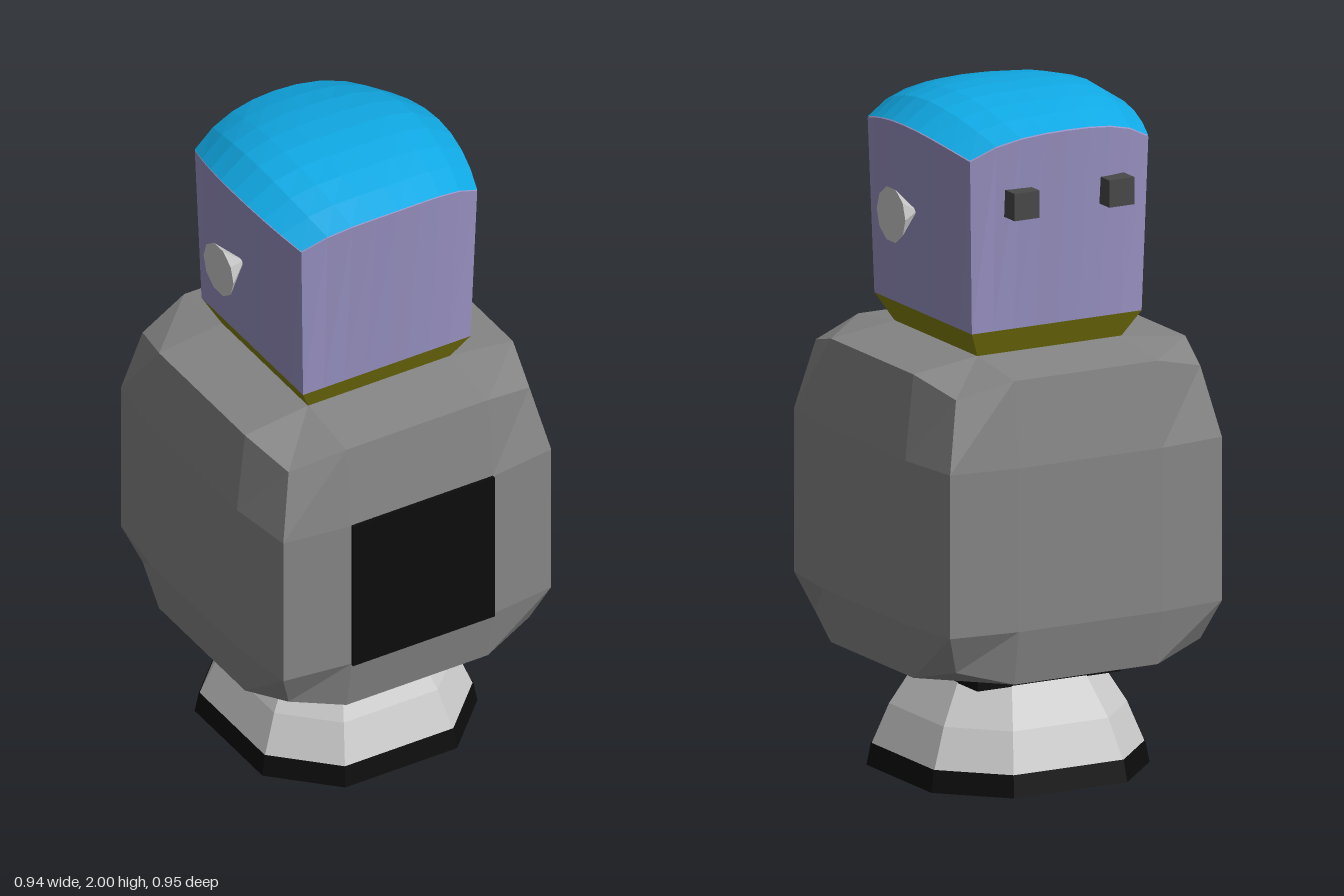
import * as THREE from 'three';

const mat = (color, side = THREE.FrontSide) =>
  new THREE.MeshStandardMaterial({ color, flatShading: true, side });

const GREY = 0xcccccc, BLACK = 0x0c0c0c;
const CZ = -0.007; // body and head sit slightly behind the origin

// Apply a rule to every vertex of a geometry
function reshape(geo, rule) {
  const p = geo.attributes.position;
  for (let i = 0; i < p.count; i++) p.setXYZ(i, ...rule(p.getX(i), p.getY(i), p.getZ(i)));
  geo.computeVertexNormals();
  return geo;
}

// Loft through chamfered-square rings given as [halfWidth, y]
function chamferedLoft(rings, flat = 0.52) {
  const corners = [[-flat, 1], [flat, 1], [1, flat], [1, -flat], [flat, -1], [-flat, -1], [-1, -flat], [-1, flat]];
  const pos = [], index = [];
  for (const [r, y] of rings) for (const [x, z] of corners) pos.push(x * r, y, z * r + CZ);
  for (let k = 0; k < rings.length - 1; k++) {
    for (let i = 0; i < 8; i++) {
      const a = k * 8 + i, b = k * 8 + (i + 1) % 8;
      index.push(a, b, b + 8, a, b + 8, a + 8);
    }
  }
  const geo = new THREE.BufferGeometry();
  geo.setAttribute('position', new THREE.Float32BufferAttribute(pos, 3));
  geo.setIndex(index);
  geo.computeVertexNormals();
  return geo;
}

// Point on the domed crown for u, v in -1..1
function crownPoint(u, v) {
  const x = u * (0.292 + 0.05 * (1 - v * v));
  const z = v * (0.292 + 0.05 * (1 - u * u));
  const y = 2 - 6 * x ** 4 - 0.55 * z * z - 5.5 * x * x * z * z;
  return [x, y, z + CZ];
}

export function createModel() {
  const model = new THREE.Group();
  const add = (name, geo, material, x = 0, y = 0, z = 0) => {
    const mesh = new THREE.Mesh(geo, material);
    mesh.name = name;
    mesh.position.set(x, y, z);
    model.add(mesh);
    return mesh;
  };

  // Flared foot, hollow underneath, with a dark rim
  add('foot', chamferedLoft([[0.345, 0.06], [0.3, 0.18], [0.235, 0.295]]), mat(GREY, THREE.DoubleSide));
  add('footRim', chamferedLoft([[0.325, 0.06], [0.325, 0], [0.357, 0], [0.346, 0.065]]), mat(BLACK, THREE.DoubleSide));
  add('waistPlate', new THREE.BoxGeometry(0.47, 0.045, 0.47), mat(BLACK), 0, 0.315, CZ);

  // Puffed box body: faces bulge furthest, edges less, corners least
  const reach = [0, 0.472, 0.445, 0.4];
  const body = reshape(new THREE.BoxGeometry(1, 1, 1, 3, 3, 3), (x, y, z) => {
    const outer = [x, y, z].filter((c) => Math.abs(c) > 0.4).length;
    const place = (c, inner) => Math.sign(c) * (Math.abs(c) > 0.4 ? reach[outer] : inner);
    return [place(x, 0.235), place(y, y > 0 ? 0.195 : 0.285) + 0.805, place(z, 0.235) + CZ];
  });
  add('body', body, mat(0x858585));
  add('chestPanel', new THREE.BoxGeometry(0.47, 0.485, 0.06), mat(BLACK), 0, 0.76, 0.445);

  // Neck: short square funnel
  const neck = reshape(new THREE.BoxGeometry(2, 2, 2), (x, y, z) => {
    const r = y > 0 ? 0.278 : 0.235;
    return [x * r, y > 0 ? 1.355 : 1.275, z * r + CZ];
  });
  add('neck', neck, mat(0x88840f));

  // Head: square at the bottom, swelling to the crown outline
  const head = reshape(new THREE.BoxGeometry(2, 2, 2, 8, 1, 8), (x, y, z) => {
    if (y < 0) return [x * 0.278, 1.355, z * 0.278 + CZ];
    const [cx, cy, cz] = crownPoint(x, z);
    return [cx, cy - 0.004, cz];
  });
  add('head', head, mat(0x9a93c4));

  // Crown: domed cap over the head
  const crown = new THREE.PlaneGeometry(2, 2, 8, 8).rotateX(-Math.PI / 2);
  add('crown', reshape(crown, (x, y, z) => crownPoint(x, z)), mat(0x10aae6, THREE.DoubleSide));

  // Ears: cones with the wide end outward; eyes: small blocks on the back
  for (const [side, name] of [[1, 'left'], [-1, 'right']]) {
    const cone = new THREE.ConeGeometry(0.082, 0.085, 10).rotateZ(side * Math.PI / 2);
    add(name + 'Ear', cone, mat(GREY), side * 0.344, 1.66, -0.013);
    add(name + 'Eye', new THREE.BoxGeometry(0.082, 0.08, 0.085), mat(0x484848), side * 0.155 - 0.008, 1.735, -0.33);
  }

  return model;
}
